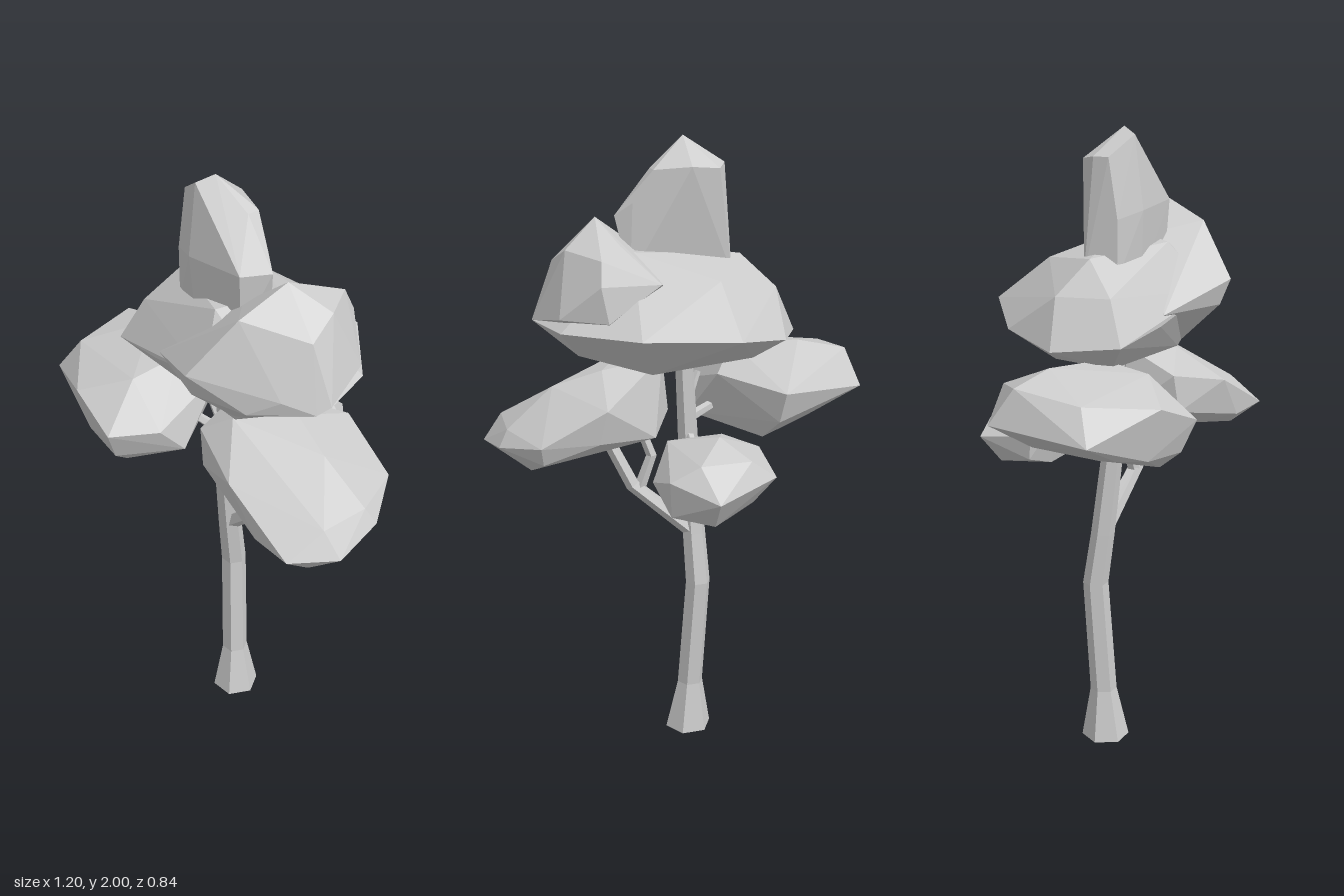
import * as THREE from 'three';
import { ConvexGeometry } from 'three/addons/geometries/ConvexGeometry.js';

const material = new THREE.MeshStandardMaterial({ color: 0xcccccc, flatShading: true });
const barkMaterial = material.clone();
barkMaterial.side = THREE.DoubleSide;

// Faceted foliage clump: the hull around a few corner points
function clump(name, points) {
  const mesh = new THREE.Mesh(new ConvexGeometry(points.map(p => new THREE.Vector3(...p))), material);
  mesh.name = name;
  return mesh;
}

// Open-ended limb lofted through rings [x, y, z, radius]; rings face along the path, or stay level
function limb(name, rings, sides, level = false) {
  const centres = rings.map(r => new THREE.Vector3(r[0], r[1], r[2]));
  const up = new THREE.Vector3(0, 1, 0);
  const positions = [], index = [];
  rings.forEach((ring, i) => {
    const dir = level ? up : centres[Math.min(i + 1, rings.length - 1)].clone()
      .sub(centres[Math.max(i - 1, 0)]).normalize();
    const turn = new THREE.Quaternion().setFromUnitVectors(up, dir);
    for (let s = 0; s < sides; s++) {
      const a = (s / sides) * Math.PI * 2;
      const p = new THREE.Vector3(Math.cos(a), 0, -Math.sin(a)).multiplyScalar(ring[3])
        .applyQuaternion(turn).add(centres[i]);
      positions.push(p.x, p.y, p.z);
    }
  });
  for (let i = 0; i < rings.length - 1; i++) {
    for (let s = 0; s < sides; s++) {
      const a = i * sides + s, b = i * sides + (s + 1) % sides;
      index.push(a, b, b + sides, a, b + sides, a + sides);
    }
  }
  const geometry = new THREE.BufferGeometry();
  geometry.setAttribute('position', new THREE.Float32BufferAttribute(positions, 3));
  geometry.setIndex(index);
  const flat = geometry.toNonIndexed();
  flat.computeVertexNormals();
  const mesh = new THREE.Mesh(flat, barkMaterial);
  mesh.name = name;
  return mesh;
}

export function createModel() {
  const tree = new THREE.Group();
  tree.name = 'tree';

  // Trunk with a flared foot and a gentle bend
  tree.add(limb('trunk', [
    [-0.03, 0, 0.04, 0.077], [-0.036, 0.17, 0.036, 0.043], [-0.057, 0.55, 0.018, 0.041],
    [-0.05, 0.72, 0.04, 0.038], [-0.04, 1.0, 0.07, 0.034], [-0.02, 1.4, 0.07, 0.028],
  ], 6, true));

  // Branches reaching into the clumps
  const branches = new THREE.Group();
  branches.name = 'branches';
  branches.add(
    limb('leftBranch', [[-0.04, 0.73, 0.04, 0.028], [0.15, 0.9, 0.06, 0.024], [0.25, 1.11, 0.09, 0.021]], 5),
    limb('leftFork', [[0.13, 0.88, 0.06, 0.02], [0.09, 1.0, 0.05, 0.018], [0.14, 1.14, 0.06, 0.015]], 5),
    limb('backBranch', [[-0.04, 1.06, 0.07, 0.015], [-0.03, 1.02, -0.03, 0.013], [-0.03, 1.04, -0.15, 0.011]], 5),
    limb('rightBranch', [[-0.03, 1.1, 0.07, 0.018], [-0.12, 1.13, 0.1, 0.015], [-0.22, 1.17, 0.14, 0.012]], 5),
    limb('rightTwig', [[-0.03, 1.1, 0.08, 0.016], [-0.05, 1.18, 0.09, 0.014], [-0.08, 1.25, 0.1, 0.01]], 5),
  );
  tree.add(branches);

  // Foliage
  const foliage = new THREE.Group();
  foliage.name = 'foliage';
  foliage.add(
    clump('topClump', [
      [-0.03, 2.0, 0.1], [-0.06, 1.98, 0.15], [-0.15, 1.92, 0.06], [-0.15, 1.92, 0.11], [-0.12, 1.91, 0.01],
      [-0.03, 1.92, 0.0], [0.08, 1.91, 0.04], [0.08, 1.91, 0.08], [0.14, 1.81, 0.06], [0.19, 1.77, 0.09],
      [0.14, 1.77, 0.17], [-0.06, 1.76, 0.18], [-0.15, 1.74, 0.14], [-0.17, 1.58, 0.04], [-0.15, 1.56, 0.14],
      [-0.05, 1.56, 0.17], [0.15, 1.58, 0.06], [0.13, 1.57, 0.16],
    ]),
    clump('crown', [
      [-0.38, 1.38, 0.04], [-0.31, 1.53, 0.02], [-0.32, 1.4, 0.24], [-0.27, 1.53, 0.18], [-0.21, 1.63, 0.08],
      [-0.12, 1.43, 0.27], [0.14, 1.5, 0.31], [0.07, 1.65, 0.2], [0.15, 1.67, 0.02], [0.36, 1.48, 0.22],
      [0.45, 1.46, 0.11], [0.4, 1.46, -0.07], [0.2, 1.47, -0.26], [-0.09, 1.46, -0.31], [-0.28, 1.41, -0.16],
      [-0.08, 1.6, -0.13], [0.32, 1.35, 0.05], [0.15, 1.31, 0.2], [0.12, 1.31, -0.08], [-0.22, 1.31, 0.16],
      [-0.22, 1.32, -0.03],
    ]),
    clump('crownPeak', [
      [0.25, 1.77, 0.09], [0.22, 1.7, 0.25], [0.14, 1.54, 0.38], [0.13, 1.46, 0.35], [0.12, 1.67, 0.14],
      [0.1, 1.6, -0.12], [0.2, 1.7, -0.02], [0.28, 1.68, -0.11], [0.29, 1.61, -0.14], [0.36, 1.69, 0.02],
      [0.38, 1.64, 0.12], [0.45, 1.46, 0.11], [0.43, 1.44, 0.15], [0.4, 1.5, -0.06], [0.27, 1.5, -0.15],
      [0.36, 1.48, 0.22], [0.28, 1.43, 0.28], [0.15, 1.32, 0.2], [-0.1, 1.46, 0.27], [-0.05, 1.5, 0.15],
    ]),
    clump('rightClump', [
      [-0.6, 1.18, 0.28], [-0.58, 1.2, -0.05], [-0.55, 1.31, 0.02], [-0.54, 1.28, 0.23], [-0.4, 1.34, 0.05],
      [-0.2, 1.33, 0.12], [-0.28, 1.24, -0.18], [-0.27, 1.14, -0.15], [-0.12, 1.26, 0.02], [-0.1, 1.17, 0.28],
      [-0.18, 1.18, 0.42], [-0.36, 1.25, 0.39], [-0.36, 1.09, 0.35], [-0.2, 1.08, 0.38], [-0.08, 1.08, 0.2],
      [-0.22, 1.03, 0.32], [-0.25, 1.03, 0.13], [-0.46, 1.11, 0.3], [-0.42, 1.1, 0.0], [-0.25, 1.06, -0.05],
      [-0.22, 1.31, 0.28],
    ]),
    clump('leftClump', [
      [0.05, 1.32, 0.06], [0.04, 1.24, 0.24], [0.02, 1.13, 0.1], [0.06, 1.12, 0.25], [0.14, 1.31, 0.2],
      [0.25, 1.3, 0.04], [0.28, 1.23, -0.15], [0.3, 1.12, -0.13], [0.4, 1.25, 0.08], [0.48, 1.12, -0.12],
      [0.47, 1.06, -0.1], [0.55, 1.13, 0.06], [0.58, 1.08, 0.04], [0.6, 1.05, 0.21], [0.54, 1.13, 0.22],
      [0.51, 1.06, 0.34], [0.25, 1.19, 0.32], [0.36, 1.05, 0.32], [0.5, 0.98, 0.24], [0.48, 0.99, 0.05],
      [0.3, 1.02, 0.2], [0.12, 1.07, 0.16], [0.1, 1.09, -0.04],
    ]),
    clump('backClump', [
      [-0.2, 1.03, -0.32], [-0.21, 1.06, -0.13], [-0.2, 0.98, -0.14], [0.01, 1.0, -0.42], [0.13, 1.04, -0.3],
      [0.15, 1.0, -0.18], [-0.1, 1.1, -0.09], [0.08, 1.1, -0.1], [-0.05, 1.14, -0.22], [0.04, 1.09, -0.32],
      [-0.12, 1.09, -0.32], [0.0, 0.9, -0.34], [0.12, 0.92, -0.28], [-0.08, 0.94, -0.13], [0.08, 0.95, -0.12],
      [-0.14, 0.94, -0.28],
    ]),
  );
  tree.add(foliage);
  return tree;
}
